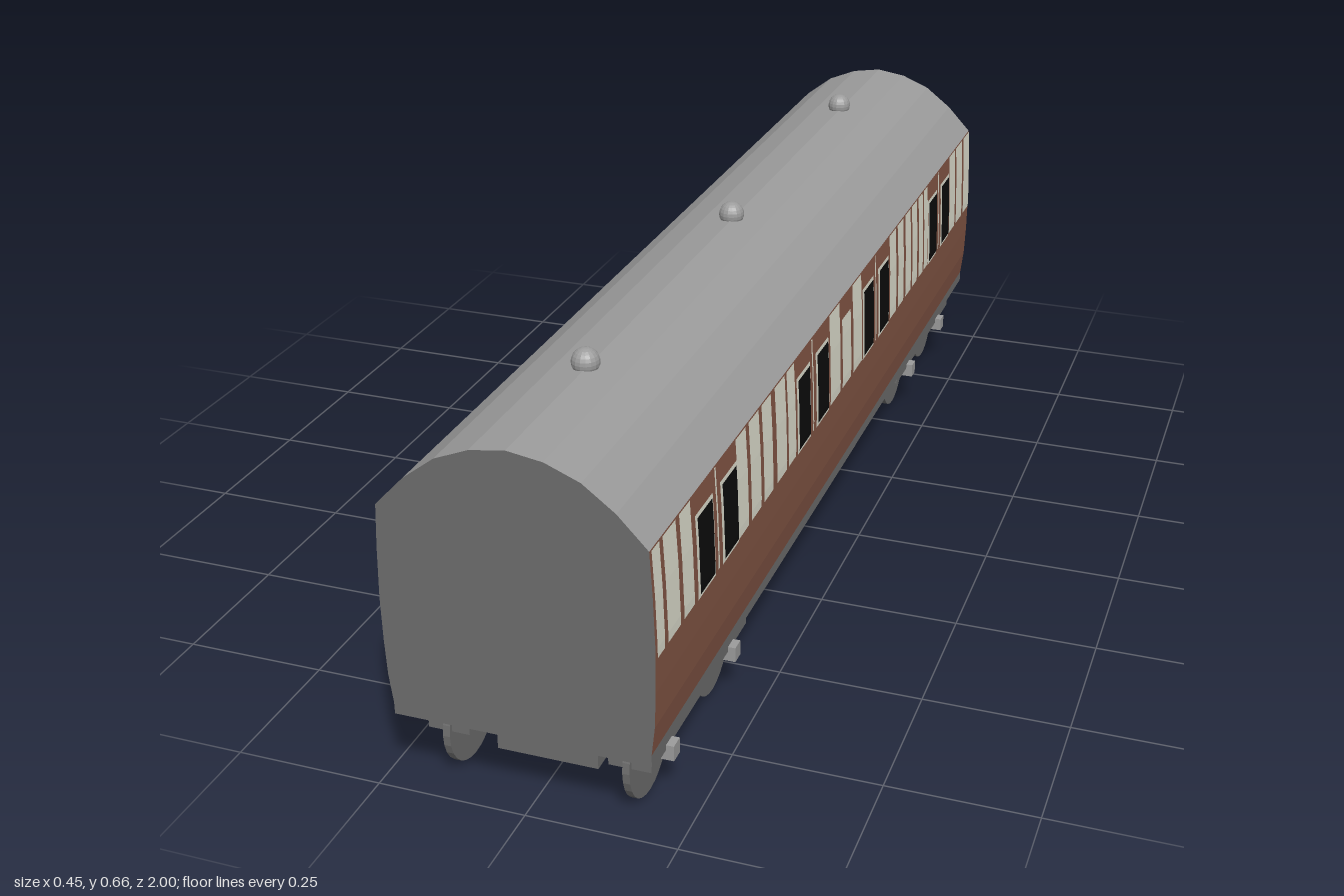
import * as THREE from 'three';

const paint = (name, color, side = THREE.FrontSide) => {
  const m = new THREE.MeshStandardMaterial({ color, side, flatShading: true });
  m.name = name;
  return m;
};

export function createModel() {
  const model = new THREE.Group();
  model.name = 'railwayCarriage';
  const grey = paint('dark grey', 0x6e6e6e);
  const roofGrey = paint('roof grey', 0x9c9c9c);
  const brown = paint('brown', 0x855746);
  const cream = paint('cream', 0xdfdfd0);
  const black = paint('black', 0x0c0c0c);

  const add = (name, geo, mat, x = 0, y = 0, z = 0, parent = model) => {
    const mesh = new THREE.Mesh(geo, mat);
    mesh.name = name;
    mesh.position.set(x, y, z);
    parent.add(mesh);
    return mesh;
  };
  // Box given by its limits
  const box = (name, mat, x0, x1, y0, y1, z0, z1, parent) =>
    add(name, new THREE.BoxGeometry(x1 - x0, y1 - y0, z1 - z0), mat,
      (x0 + x1) / 2, (y0 + y1) / 2, (z0 + z1) / 2, parent);
  // Square bar between two points in a plane of constant x
  const bar = (name, x, w, [z0, y0], [z1, y1], parent) => {
    const m = add(name, new THREE.BoxGeometry(w, w, Math.hypot(z1 - z0, y1 - y0)), grey,
      x, (y0 + y1) / 2, (z0 + z1) / 2, parent);
    m.rotation.x = -Math.atan2(y1 - y0, z1 - z0);
    return m;
  };

  // Curved side wall and roof profiles, [half width, height]
  const wall = [[0.211, 0.16], [0.217, 0.21], [0.2195, 0.27], [0.2205, 0.345], [0.218, 0.43], [0.214, 0.505]];
  const roof = [[0.214, 0.505], [0.166, 0.556], [0.114, 0.596], [0.058, 0.619], [0, 0.628]];
  const widthAt = (y) => {
    let i = 0;
    while (i < wall.length - 2 && y > wall[i + 1][1]) i++;
    const [[xa, ya], [xb, yb]] = [wall[i], wall[i + 1]];
    return xa + (xb - xa) * (y - ya) / (yb - ya);
  };
  // Quads along z through a profile, on both sides of the body
  const quads = (pos, pts, za, zb) => {
    const z0 = Math.min(za, zb), z1 = Math.max(za, zb);
    for (let i = 0; i < pts.length - 1; i++) {
      const [[xa, ya], [xb, yb]] = [pts[i], pts[i + 1]];
      for (const s of [1, -1]) {
        const c = [[s * xa, ya, z1], [s * xa, ya, z0], [s * xb, yb, z0], [s * xb, yb, z1]];
        for (const k of s > 0 ? [0, 1, 2, 0, 2, 3] : [0, 2, 1, 0, 3, 2]) pos.push(...c[k]);
      }
    }
  };
  const surface = (name, mat, build) => {
    const pos = [];
    build(pos);
    const g = new THREE.BufferGeometry();
    g.setAttribute('position', new THREE.Float32BufferAttribute(pos, 3));
    g.computeVertexNormals();
    return add(name, g, mat);
  };
  // Painted panels that follow the wall
  const panels = (name, mat, rects, lift) => surface(name, mat, (pos) => {
    for (const [z0, z1, y0, y1] of rects) {
      const ys = [y0, ...wall.map((p) => p[1]).filter((y) => y > y0 && y < y1), y1];
      quads(pos, ys.map((y) => [widthAt(y) + lift, y]), z0, z1);
    }
  });

  // Body shell
  surface('sideWalls', brown, (pos) => quads(pos, wall, -1, 1));
  surface('roof', roofGrey, (pos) => quads(pos, roof, -1, 1));
  const half = [...wall, ...roof.slice(1)];
  const outline = new THREE.Shape([...half, ...half.slice(0, -1).reverse().map(([x, y]) => [-x, y])]
    .map(([x, y]) => new THREE.Vector2(x, y)));
  for (const s of [1, -1]) {
    const end = add(s > 0 ? 'frontEnd' : 'backEnd', new THREE.ShapeGeometry(outline), grey, 0, 0, s);
    if (s < 0) end.rotation.y = Math.PI;
  }
  box('underframe', grey, -0.211, 0.211, 0.14, 0.165, -1, 1);

  // Cream upper panels, thin door lines and window frames
  const tall = [[0.995, 0.965], [0.952, 0.9], [0.885, 0.84], [0.634, 0.585], [0.57, 0.52], [0.505, 0.457],
    [0.436, 0.382], [0.372, 0.33], [0.12, 0.056], [-0.03, -0.09], [-0.297, -0.345], [-0.36, -0.404],
    [-0.42, -0.463], [-0.475, -0.516], [-0.53, -0.565], [-0.575, -0.607], [-0.805, -0.858],
    [-0.87, -0.925], [-0.94, -0.995]];
  const doorLines = [0.73, 0.227, -0.19, -0.703];
  const windows = [0.786, 0.674, 0.283, 0.171, -0.134, -0.246, -0.647, -0.759];
  panels('creamPanels', cream, [
    ...tall.map(([a, b]) => [a, b, 0.328, 0.504]),
    ...doorLines.map((z) => [z - 0.003, z + 0.003, 0.328, 0.504]),
    [0.042, -0.015, 0.328, 0.465],
  ], 0.0015);
  panels('windowFrames', cream, windows.map((z) => [z - 0.039, z + 0.039, 0.326, 0.47]), 0.002);
  panels('windows', black, windows.map((z) => [z - 0.033, z + 0.033, 0.333, 0.464]), 0.0035);

  // Roof ventilators
  for (const z of [-0.69, 0.015, 0.7])
    add('roofVentilator', new THREE.SphereGeometry(0.023, 16, 12), roofGrey, -0.004, 0.635, z);

  // Bogies with frames, wheels and axle boxes
  const wheelGeo = new THREE.CylinderGeometry(0.084, 0.084, 0.012, 28).rotateZ(Math.PI / 2);
  const bogies = [
    { name: 'frontBogie', z0: 0.505, z1: 0.95, axles: [0.585, 0.875] },
    { name: 'backBogie', z0: -0.965, z1: -0.505, axles: [-0.865, -0.6] },
  ];
  for (const { name, z0, z1, axles } of bogies) {
    const bogie = new THREE.Group();
    bogie.name = name;
    model.add(bogie);
    box('bogieBlock', grey, -0.08, 0.09, 0.052, 0.12, z0 + 0.03, z1 - 0.03, bogie);
    box('bogieBolster', grey, -0.12, 0.13, 0.09, 0.14, (z0 + z1) / 2 - 0.05, (z0 + z1) / 2 + 0.05, bogie);
    for (const s of [1, -1]) {
      const x = 0.004 + s * 0.151;
      box('sideFrame', grey, x - 0.035, x + 0.035, 0.089, 0.14, z0, z1, bogie);
      for (const z of axles) {
        add('wheel', wheelGeo, grey, 0.002 + s * 0.15, 0.084, z, bogie);
        const bx = 0.003 + s * 0.184;
        box('axleBox', roofGrey, bx - 0.016, bx + 0.016, 0.071, 0.098, z - 0.013, z + 0.013, bogie);
      }
    }
    for (const z of axles)
      add('axle', new THREE.CylinderGeometry(0.012, 0.012, 0.3, 10).rotateZ(Math.PI / 2), grey, 0.002, 0.084, z, bogie);
  }

  // Truss rods under the middle
  const truss = new THREE.Group();
  truss.name = 'trussFrame';
  model.add(truss);
  for (const x of [-0.172, 0.15]) {
    bar('trussRod', x, 0.018, [-0.295, 0.046], [0.305, 0.046], truss);
    for (const [z, top] of [[0.3, 0.46], [-0.285, -0.45]]) {
      bar('trussDiagonal', x, 0.018, [z, 0.046], [top, 0.145], truss);
      bar('trussPost', x, 0.016, [z, 0.046], [z, 0.145], truss);
    }
  }
  for (const z of [0.3, -0.285]) box('trussCrossbar', grey, -0.172, 0.15, 0.037, 0.058, z - 0.009, z + 0.009, truss);

  // Tanks lying along the carriage
  for (const x of [-0.125, 0.074])
    add('tank', new THREE.CylinderGeometry(0.047, 0.047, 0.24, 20).rotateX(Math.PI / 2), grey, x, 0.105, -0.32);

  return model;
}
